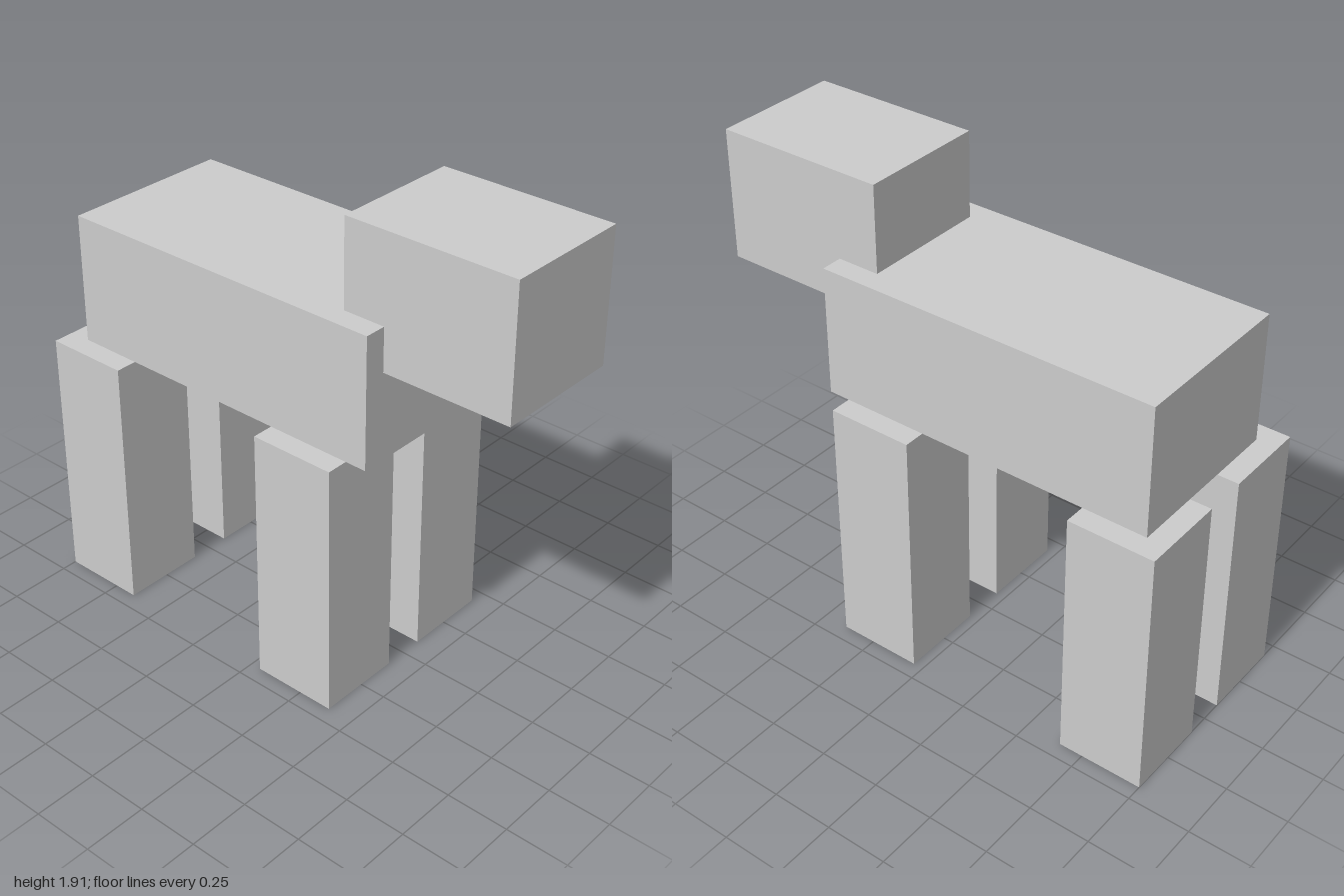
import * as THREE from 'three';

// The whole animal sits on a block grid: 23 grid units long = 2 units
const U = 2 / 23;

export function createModel() {
  const group = new THREE.Group();
  const material = new THREE.MeshStandardMaterial({ color: 0xcccccc, flatShading: true });

  // Box given by its size and centre in grid units
  function block(name, [w, h, d], [x, y, z]) {
    const mesh = new THREE.Mesh(new THREE.BoxGeometry(w * U, h * U, d * U), material);
    mesh.name = name;
    mesh.position.set(x * U, y * U, z * U);
    group.add(mesh);
  }

  block('body', [8, 6, 16], [0, 15, -2.5]);
  block('head', [6, 6, 8], [0, 19, 7.5]);

  // Four legs, mirrored left and right
  for (const [side, sx] of [['Left', 1], ['Right', -1]]) {
    block('front' + side + 'Leg', [4, 12, 4], [3 * sx, 6, 2.5]);
    block('back' + side + 'Leg', [4, 12, 4], [3 * sx, 6, -9.5]);
  }

  return group;
}
